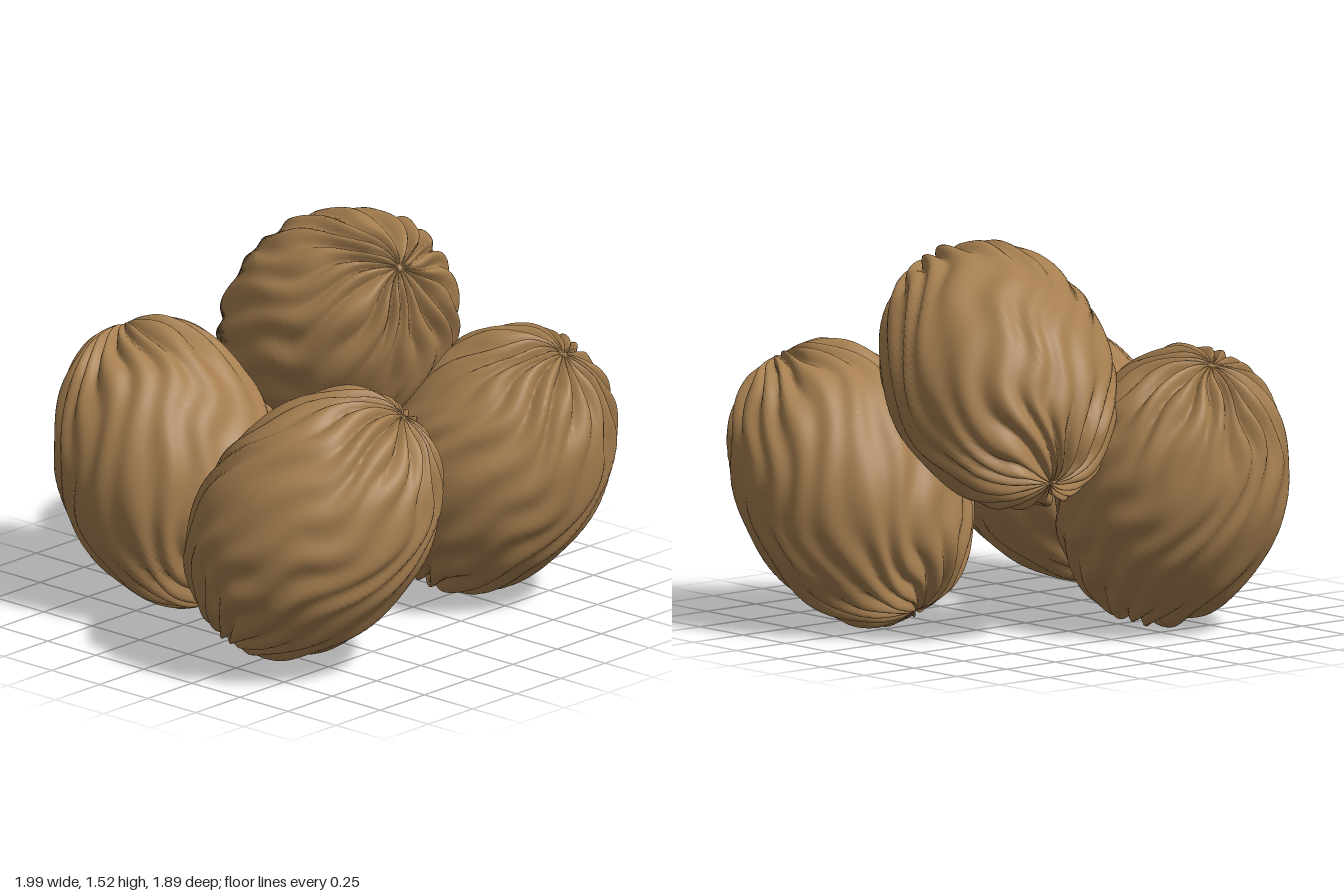
import * as THREE from 'three';
import { mergeVertices } from 'three/addons/utils/BufferGeometryUtils.js';

const HALF_LENGTH = 0.56;
const RADIUS = 0.433;
const RIDGES = 18;

// Ridged shell: an ellipsoid whose ridges swirl out of both tips and soften along the sides
function shellGeometry() {
  let geo = new THREE.SphereGeometry(1, 160, 72);
  geo.deleteAttribute('uv');
  geo.deleteAttribute('normal');
  geo = mergeVertices(geo, 1e-5);
  const pos = geo.attributes.position;
  const v = new THREE.Vector3();
  for (let i = 0; i < pos.count; i++) {
    v.fromBufferAttribute(pos, i);
    const polar = Math.acos(THREE.MathUtils.clamp(v.y, -1, 1));
    const phi = Math.atan2(v.x, v.z);
    const ring = Math.sin(polar);

    // S-shaped swirl with irregular waviness
    const swirl = 0.32 * Math.sin(2 * polar) + 0.06 * Math.sin(polar * 7 + 2 * Math.sin(phi * 3));
    const a = phi - swirl;
    const phase = RIDGES * a + 0.9 * Math.sin(3 * a + 1) + 0.6 * Math.sin(5 * a);

    // Sharp grooves near the tips blend into soft waves around the middle
    const sharp = 2 * Math.abs(Math.sin(phase / 2)) - 1.2;
    const soft = -0.75 * Math.cos(phase);
    const middle = THREE.MathUtils.smoothstep(ring, 0.55, 0.95);
    const ridge = THREE.MathUtils.lerp(sharp, soft, middle);
    const strength = 0.018 - 0.007 * middle + 0.003 * Math.sin(4 * a + polar * 2);
    const lumps = 0.003 * Math.sin(2 * phi + 3 * polar) + 0.003 * Math.sin(7 * a + 9 * polar);

    const fade = Math.min(1, ring / 0.35);
    const grow = 1 + (ridge * strength + lumps) * fade / RADIUS;
    const dimple = 1 - 0.012 * Math.exp(-Math.pow(ring / 0.07, 2));
    pos.setXYZ(i, v.x * RADIUS * grow, v.y * HALF_LENGTH * grow * dimple, v.z * RADIUS * grow);
  }
  geo.computeVertexNormals();
  return geo;
}

export function createModel() {
  const group = new THREE.Group();
  group.name = 'nutPile';
  const shell = new THREE.MeshStandardMaterial({ color: 0xa67f50 });
  shell.name = 'brown shell';
  const geometry = shellGeometry();

  // Each nut: centre, direction of its upper tip, and roll about its own axis
  const nuts = [
    ['frontRightNut', [-0.535, 0.57, 0.46], [0.22, 0.46, 0.28], 0],
    ['frontLeftNut', [0.552, 0.545, 0.39], [0.09, 0.49, 0.30], 0.4],
    ['topNut', [0.302, 1.01, -0.19], [-0.10, 0.37, 0.43], 1.7],
    ['backNut', [-0.325, 0.55, -0.482], [0.01, 0.51, -0.25], 2.9],
  ];
  const up = new THREE.Vector3(0, 1, 0);
  for (const [name, centre, tip, roll] of nuts) {
    const nut = new THREE.Mesh(geometry, shell);
    nut.name = name;
    nut.position.set(...centre);
    nut.quaternion.setFromUnitVectors(up, new THREE.Vector3(...tip).normalize());
    nut.rotateY(roll);
    group.add(nut);
  }
  return group;
}
